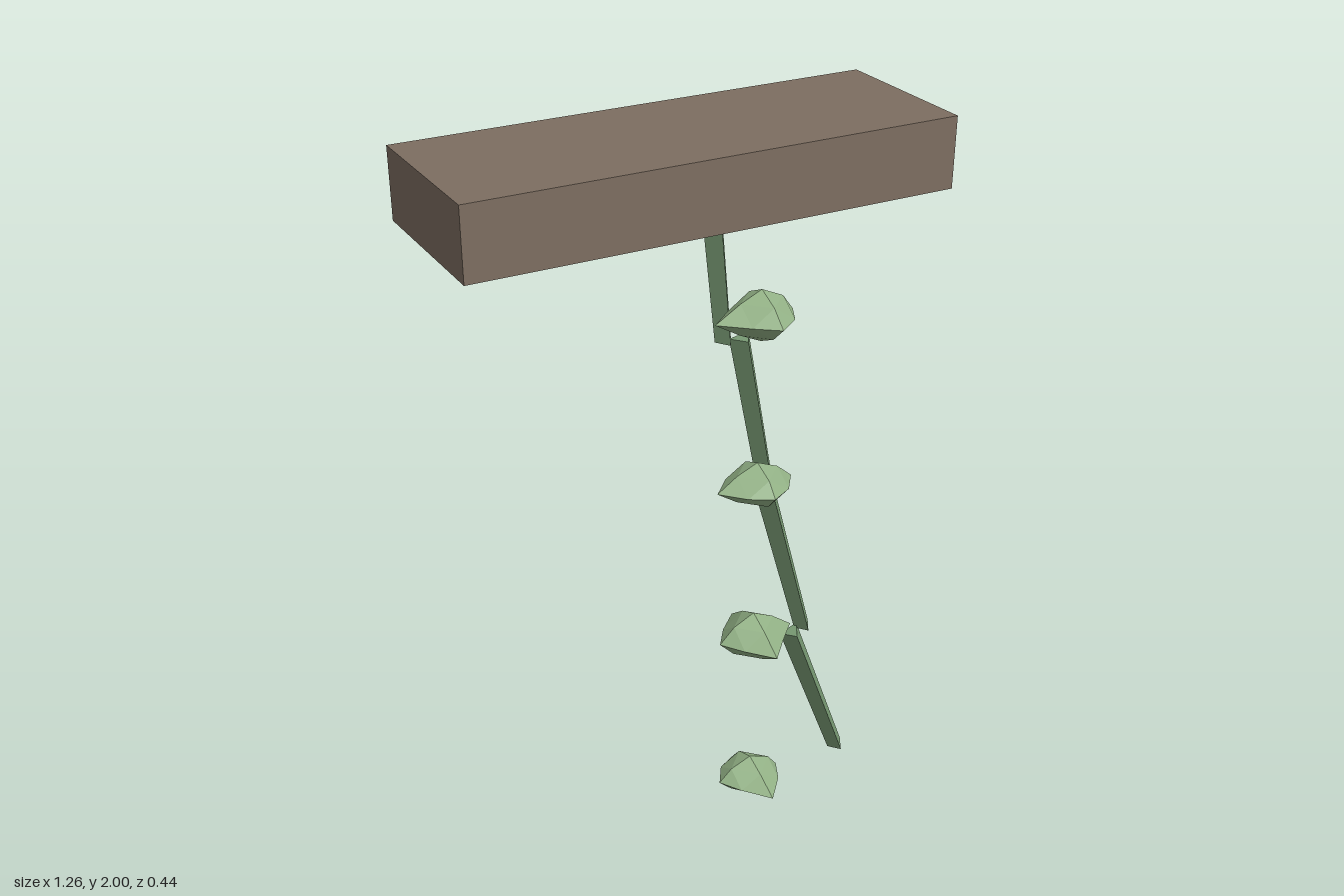
import * as THREE from 'three';

const mat = (color, extra = {}) => new THREE.MeshStandardMaterial({ color, flatShading: true, ...extra });

// Thin-walled box, open underneath
function makePlanter() {
  const geo = new THREE.BoxGeometry(1.264, 0.18, 0.435);
  const faces = Array.from(geo.index.array);
  faces.splice(18, 6); // drop the bottom face
  geo.setIndex(faces);
  geo.clearGroups();
  const planter = new THREE.Mesh(geo, mat(0x7d6e61, { side: THREE.DoubleSide }));
  planter.name = 'planter';
  planter.position.set(0, 1.91, -0.0075);
  return planter;
}

// Three-sided tapering stem piece between two points in the x-y plane
function makeStem([x0, y0], [x1, y1], material) {
  const geo = new THREE.CylinderGeometry(0.033, 0.027, Math.hypot(x1 - x0, y1 - y0), 3);
  const stem = new THREE.Mesh(geo, material);
  stem.position.set((x0 + x1) / 2, (y0 + y1) / 2, -0.006);
  stem.rotation.z = Math.atan2(x1 - x0, y0 - y1);
  return stem;
}

// Squashed faceted ball whose six axis corners are pulled out to their own lengths
function makeLeaf({ y, left, right, front, back, height }, material) {
  const geo = new THREE.OctahedronGeometry(1, 1);
  const pos = geo.attributes.position;
  const v = new THREE.Vector3();
  for (let i = 0; i < pos.count; i++) {
    v.fromBufferAttribute(pos, i);
    if (Math.abs(v.y) > 0.9) v.y *= height;
    else if (Math.abs(v.x) > 0.9) v.x *= v.x > 0 ? left : right;
    else if (Math.abs(v.z) > 0.9) v.z *= v.z > 0 ? front : back;
    else v.multiply(new THREE.Vector3(0.085, height * 0.85, 0.085));
    pos.setXYZ(i, v.x, v.y, v.z);
  }
  geo.computeVertexNormals();
  const leaf = new THREE.Mesh(geo, material);
  leaf.position.set(0.18, y, 0.085);
  return leaf;
}

export function createModel() {
  const model = new THREE.Group();
  model.name = 'hangingPlant';
  model.add(makePlanter());

  // Trailing vine, swinging further out towards the bottom
  const stemMat = mat(0x7a9c75);
  const stems = [
    [[0.085, 1.91], [0.132, 1.435]],
    [[0.18, 1.437], [0.272, 0.965]],
    [[0.27, 0.962], [0.402, 0.488]],
    [[0.361, 0.484], [0.538, 0.012]],
  ];
  stems.forEach(([top, bottom], i) => {
    const stem = makeStem(top, bottom, stemMat);
    stem.name = `stem${i + 1}`;
    model.add(stem);
  });

  // Leaf clumps in a column in front of the vine
  const leafMat = mat(0x93b286);
  const leaves = [
    { y: 1.533, left: 0.09, right: 0.13, front: 0.105, back: 0.105, height: 0.069 },
    { y: 1.058, left: 0.103, right: 0.117, front: 0.093, back: 0.095, height: 0.063 },
    { y: 0.585, left: 0.118, right: 0.103, front: 0.128, back: 0.117, height: 0.072 },
    { y: 0.107, left: 0.088, right: 0.098, front: 0.131, back: 0.09, height: 0.059 },
  ];
  leaves.forEach((spec, i) => {
    const leaf = makeLeaf(spec, leafMat);
    leaf.name = `leaf${i + 1}`;
    model.add(leaf);
  });
  return model;
}
